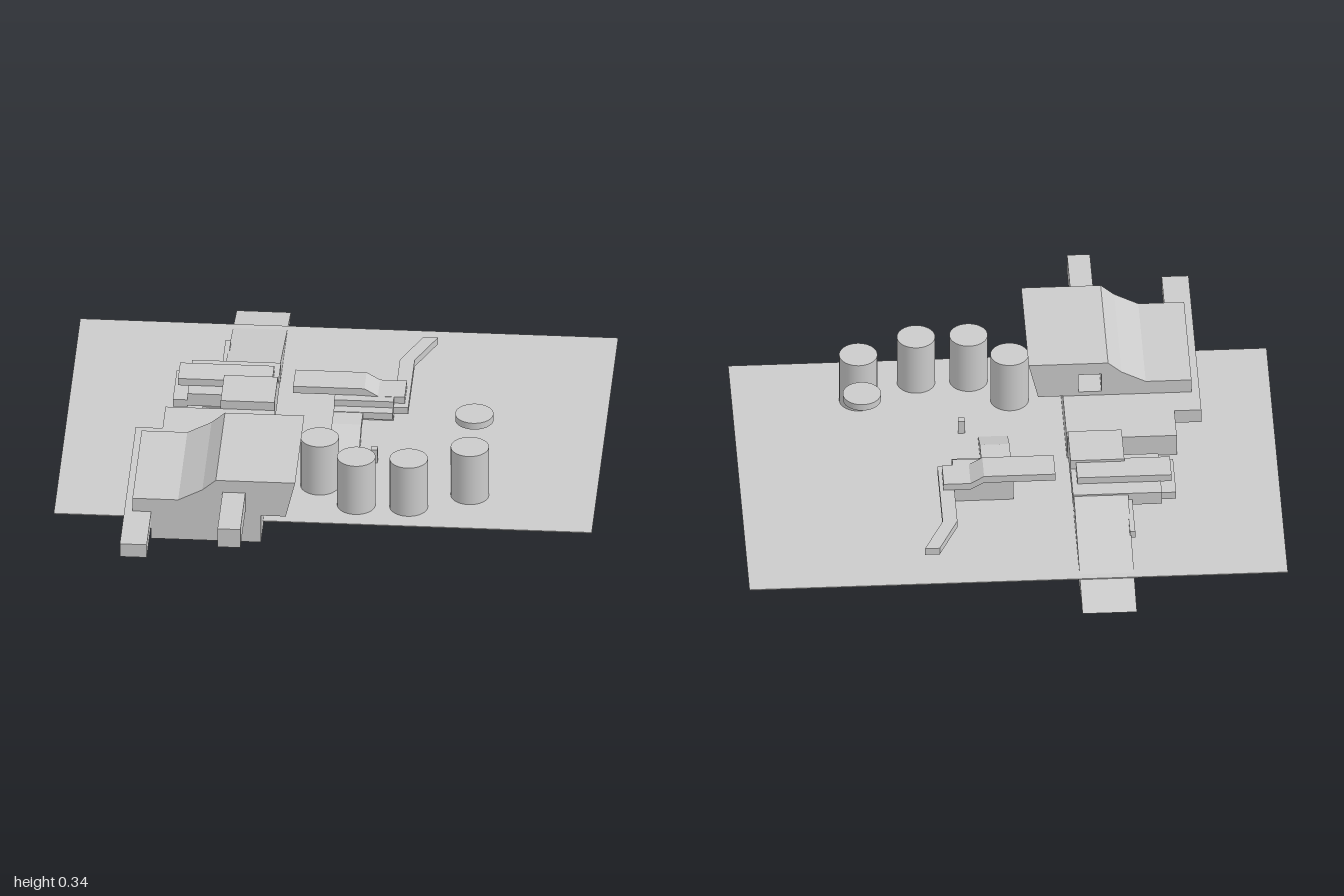
import * as THREE from 'three';

const mat = new THREE.MeshStandardMaterial({ color: 0xcccccc, flatShading: true, side: THREE.DoubleSide });
const smooth = new THREE.MeshStandardMaterial({ color: 0xcccccc });

export function createModel() {
  const g = new THREE.Group();
  g.name = 'platformDiorama';

  const add = (name, geo, m = mat) => {
    const mesh = new THREE.Mesh(geo, m);
    mesh.name = name;
    g.add(mesh);
    return mesh;
  };
  // Box from its limits
  const box = (name, x0, x1, y0, y1, z0, z1) =>
    add(name, new THREE.BoxGeometry(x1 - x0, y1 - y0, z1 - z0))
      .position.set((x0 + x1) / 2, (y0 + y1) / 2, (z0 + z1) / 2);
  const shapeOf = (pts) => new THREE.Shape(pts.map(([a, b]) => new THREE.Vector2(a, b)));
  const extrude = (shape, depth) => new THREE.ExtrudeGeometry(shape, { depth, bevelEnabled: false });
  // Front profile (x, y) swept along z
  const alongZ = (name, shape, z0, z1) => add(name, extrude(shape, z1 - z0).translate(0, 0, z0));
  // Side profile (z, y) swept along x
  const alongX = (name, pts, x0, x1) =>
    add(name, extrude(shapeOf(pts.map(([z, y]) => [-z, y])), x1 - x0).rotateY(Math.PI / 2).translate(x0, 0, 0));
  // Plan outline (x, z) swept along y
  const alongY = (name, pts, y0, y1) =>
    add(name, extrude(shapeOf(pts.map(([x, z]) => [x, -z])), y1 - y0).rotateX(-Math.PI / 2).translate(0, y0, 0));

  // Ground sheet
  box('groundSheet', -1, 1, 0.098, 0.102, -0.81, 0.6);

  // Upright drums and the raised disc
  [[-0.03, 0.33], [0.115, 0.46], [0.31, 0.46], [0.53, 0.36]].forEach(([x, z], i) => {
    add('drum' + (i + 1), new THREE.CylinderGeometry(0.071, 0.071, 0.22, 40), smooth).position.set(x, 0.2, z);
  });
  add('disc', new THREE.CylinderGeometry(0.071, 0.071, 0.027, 40), smooth).position.set(0.53, 0.295, 0.117);
  box('smallPost', 0.147, 0.172, 0.1, 0.157, 0.128, 0.153);

  // Main body: deep front half, shallow rear half
  alongX('mainBody', [[0.71, 0.075], [0.71, 0.19], [-0.05, 0.19], [-0.05, 0.102], [0.11, 0.102], [0.11, 0.075]], -0.63, -0.222);
  box('sideBeam', -0.73, -0.63, 0.135, 0.19, 0.105, 0.95);

  // Upper housing with a square opening
  const housing = shapeOf([[-0.70, 0.19], [-0.13, 0.19], [-0.095, 0.335], [-0.39, 0.335], [-0.44, 0.292], [-0.53, 0.245], [-0.70, 0.245]]);
  housing.holes.push(new THREE.Path([[-0.365, 0.207], [-0.365, 0.285], [-0.28, 0.285], [-0.28, 0.207]]
    .map(([x, y]) => new THREE.Vector2(x, y))));
  alongZ('upperHousing', housing, 0.22, 0.71);
  box('frontBeam', -0.365, -0.28, 0.207, 0.285, 0.69, 0.975);

  // Rear assembly behind the main body
  box('rearNeck', -0.425, -0.225, 0.13, 0.225, -0.235, -0.05);
  box('rearCrossPlate', -0.595, -0.245, 0.186, 0.215, -0.33, -0.215);
  box('rearBase', -0.555, -0.225, 0.135, 0.187, -0.4, -0.155);
  box('rearSideTab', -0.61, -0.555, 0.13, 0.16, -0.365, -0.155);
  box('rearFoot', -0.5, -0.3, 0.1, 0.136, -0.3, -0.15);
  box('rearRail', -0.445, -0.425, 0.13, 0.158, -0.6, -0.4);

  // Wedge ramp that dips through the ground sheet
  alongX('ramp', [[-0.37, 0.187], [-0.975, 0.062], [-0.545, 0], [-0.365, 0.13]], -0.43, -0.228);

  // Second assembly: base, stepped plate, bent arm and dipping chute
  box('secondBase', -0.01, 0.21, 0.105, 0.186, -0.3, -0.15);
  box('secondDeck', -0.01, 0.21, 0.132, 0.16, -0.3, -0.11);
  alongZ('steppedPlate', shapeOf([[-0.165, 0.188], [0.1, 0.188], [0.15, 0.16], [0.25, 0.16], [0.25, 0.187],
    [0.15, 0.187], [0.1, 0.217], [-0.165, 0.217]]), -0.305, -0.185);
  alongY('bentArm', [[0.21, -0.155], [0.265, -0.155], [0.265, -0.5], [0.34, -0.668], [0.285, -0.668], [0.21, -0.5]], 0.132, 0.16);
  alongX('chute', [[0.108, 0.1], [0.015, 0.068], [-0.03, 0.132], [-0.15, 0.132], [-0.15, 0.158], [-0.025, 0.158]], -0.01, 0.1);

  return g;
}
